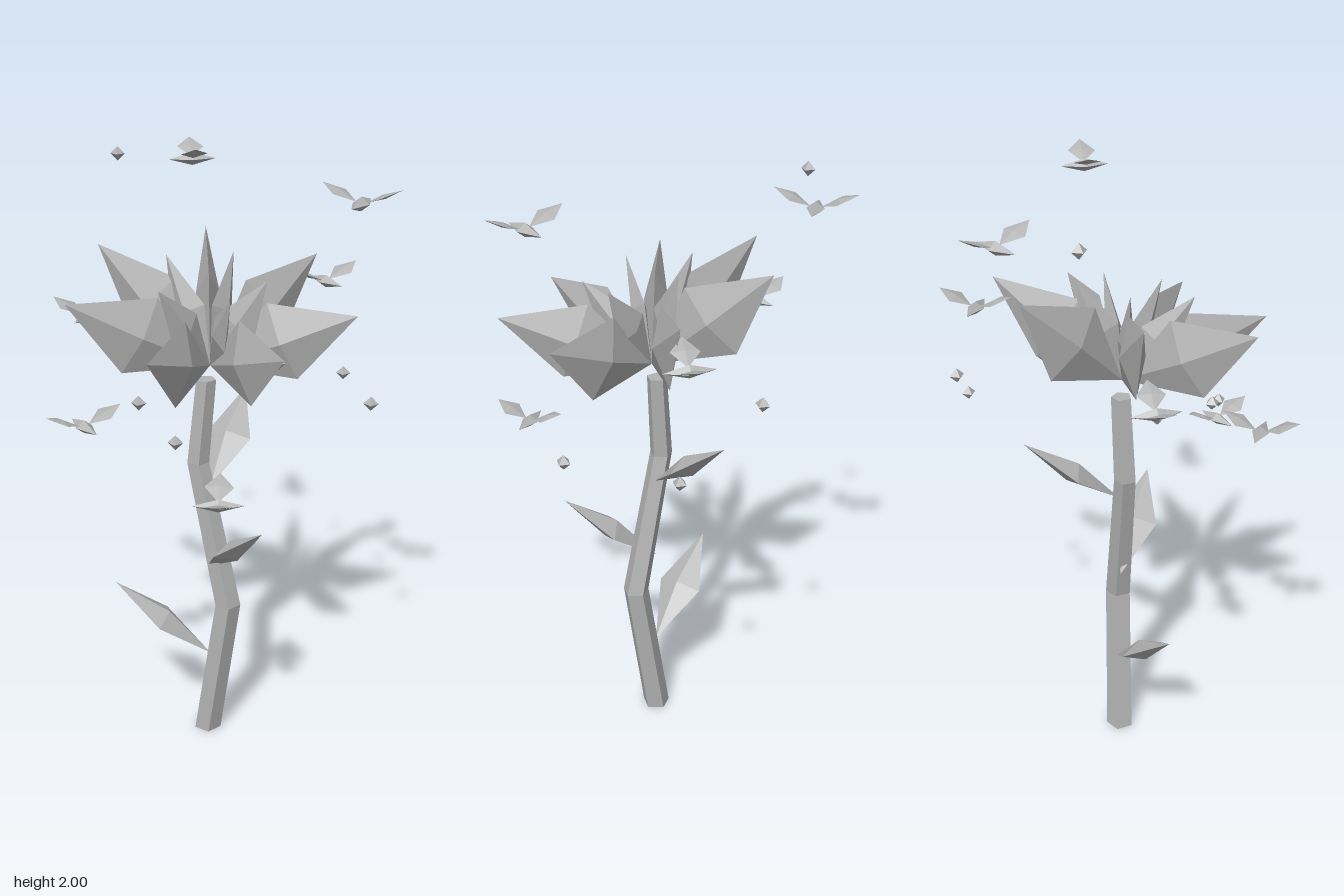
import * as THREE from 'three';

const stoneGrey = new THREE.MeshStandardMaterial({ color: 0xb4b4b4, flatShading: true });
const V = (x, y, z) => new THREE.Vector3(x, y, z);

// Pointed eight-sided blade from base to tip, w and t being half width and half thickness
function blade(name, base, tip, across, w, t) {
  const along = tip.clone().sub(base);
  const half = along.length() / 2;
  along.normalize();
  const wide = across.clone().addScaledVector(along, -across.dot(along)).normalize();
  const thick = along.clone().cross(wide);
  const g = new THREE.OctahedronGeometry(1);
  g.scale(half, w, t);
  g.applyMatrix4(new THREE.Matrix4().makeBasis(along, wide, thick));
  const mesh = new THREE.Mesh(g, stoneGrey);
  mesh.name = name;
  mesh.position.copy(base).add(tip).multiplyScalar(0.5);
  return mesh;
}

// Five-sided stem with two bends
function makeStem() {
  const rows = [
    [-0.03, 0, 0.01, 0.048], [0.045, 0.53, 0.047, 0.045],
    [-0.06, 1.04, 0.01, 0.038], [-0.033, 1.33, 0.01, 0.034],
  ];
  const g = new THREE.CylinderGeometry(1, 1, 3, 5, 3, false, 0.2);
  const p = g.attributes.position;
  for (let i = 0; i < p.count; i++) {
    const [x, y, z, r] = rows[Math.round(p.getY(i) + 1.5)];
    p.setXYZ(i, x + p.getX(i) * r, y, z + p.getZ(i) * r);
  }
  g.computeVertexNormals();
  const mesh = new THREE.Mesh(g, stoneGrey);
  mesh.name = 'stem';
  return mesh;
}

// Butterfly flying around the flower: tangential body, wings raised on both sides
function makeButterfly(x, y, z) {
  const b = new THREE.Group();
  b.name = 'butterfly';
  b.add(blade('butterflyBody', V(0, 0, -0.08), V(0, 0, 0.08), V(1, 0, 0), 0.027, 0.021));
  for (const s of [-1, 1]) {
    b.add(blade(s < 0 ? 'innerWing' : 'outerWing',
      V(s * 0.015, 0.005, 0), V(s * 0.125, 0.052, s * 0.008), V(0, 0, 1), 0.045, 0.007));
  }
  b.position.set(x, y, z);
  b.rotation.y = -Math.atan2(z, x);
  return b;
}

export function createModel() {
  const model = new THREE.Group();
  model.name = 'flowerWithButterflies';
  const up = V(0, 1, 0);
  model.add(makeStem());

  // Leaves, broad across the horizontal
  const leaves = [
    [V(-0.02, 0.30, 0.005), V(-0.352, 0.56, 0.006)],
    [V(-0.03, 0.65, 0.01), V(0.177, 0.90, 0.243)],
    [V(-0.02, 0.95, 0.01), V(0.063, 1.195, -0.295)],
  ];
  for (const [base, tip] of leaves) {
    const side = tip.clone().sub(base).cross(up);
    model.add(blade('leaf', base, tip, side, 0.08, 0.035));
  }

  // Outer and inner petals, broad in the upright direction
  const flower = new THREE.Group();
  flower.name = 'flower';
  const outer = [
    [-0.085, 1.735, -0.365], [0.295, 1.68, -0.268], [0.445, 1.58, 0.08], [0.25, 1.545, 0.42],
    [-0.134, 1.54, 0.49], [-0.428, 1.63, 0.24], [-0.405, 1.72, -0.14],
  ];
  const inner = [
    [-0.165, 1.72, -0.04], [0.04, 1.72, -0.11], [0.165, 1.675, 0.06],
    [0.07, 1.65, 0.22], [-0.15, 1.67, 0.2],
  ];
  for (const t of outer) {
    flower.add(blade('outerPetal', V(-0.018, 1.38, 0.02), V(...t), up, 0.13, 0.04));
  }
  for (const t of inner) {
    flower.add(blade('innerPetal', V(-0.018, 1.38, 0.02), V(...t), up, 0.065, 0.026));
  }
  model.add(flower);

  // Butterflies
  const butterflies = [
    [-0.143, 1.94, -0.458], [0.325, 1.575, -0.317], [-0.45, 1.48, -0.123],
    [-0.365, 1.27, 0.317], [0.066, 1.095, 0.455], [0.44, 1.938, 0.148],
  ];
  for (const b of butterflies) model.add(makeButterfly(...b));

  // Drifting pollen grains
  const pollen = [
    [0.16, 1.44, -0.468], [-0.37, 1.977, -0.323], [0.395, 1.25, -0.33], [0.497, 1.27, 0.006],
    [0.208, 1.44, 0.143], [-0.21, 1.325, 0.238], [-0.077, 1.25, 0.357], [-0.415, 1.45, -0.098],
  ];
  const grain = new THREE.OctahedronGeometry(0.024);
  for (const c of pollen) {
    const mesh = new THREE.Mesh(grain, stoneGrey);
    mesh.name = 'pollenGrain';
    mesh.position.set(...c);
    model.add(mesh);
  }
  return model;
}
